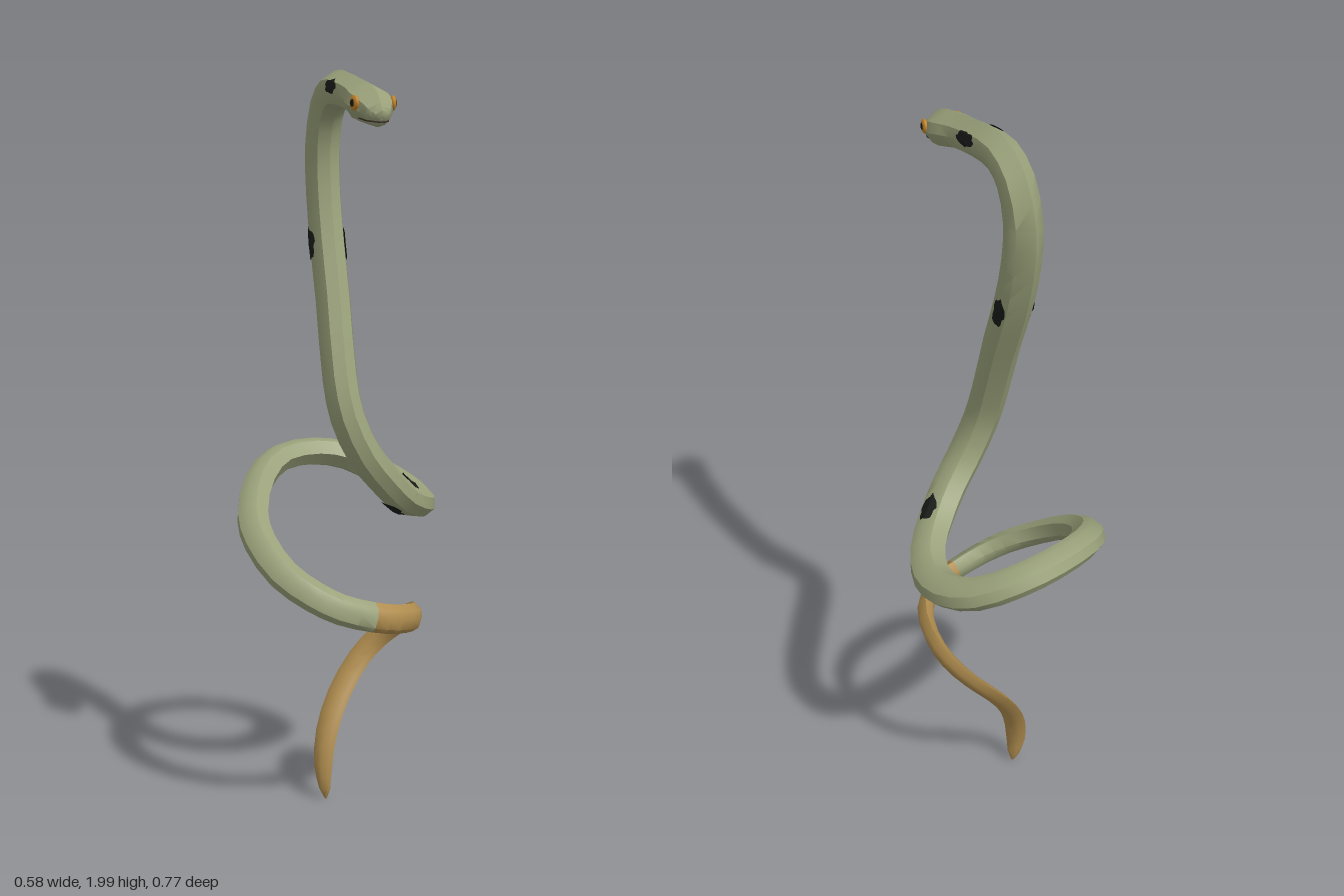
import * as THREE from 'three';
import { toCreasedNormals } from 'three/addons/utils/BufferGeometryUtils.js';

const mat = (name, color, side = THREE.FrontSide) =>
  Object.assign(new THREE.MeshStandardMaterial({ color, side }), { name });

// Spine from snout to tail tip: x, y, z, half width, half height
const HEAD_NECK = [
  [-.035, 1.868, .375, .002, .002], [-.035, 1.871, .37, .018, .022], [-.035, 1.88, .35, .035, .033],
  [-.035, 1.897, .315, .052, .046], [-.035, 1.91, .27, .059, .05], [-.035, 1.927, .2, .047, .046],
  [-.035, 1.942, .11, .046, .047], [-.035, 1.945, .01, .046, .053], [-.035, 1.9, -.06, .046, .06],
  [-.036, 1.8, -.098, .046, .064], [-.037, 1.68, -.088, .046, .062], [-.04, 1.545, -.045, .046, .06],
  [-.045, 1.4, .02, .046, .058], [-.052, 1.2, .1, .046, .056], [-.04, 1.1, .128, .046, .055],
];
const COIL = [
  [.005, 1, .135, .046, .054], [.065, .93, .115, .046, .053], [.13, .872, .07, .045, .053],
  [.2, .84, -.01, .044, .052], [.238, .83, -.1, .043, .052], [.238, .842, -.19, .042, .052],
  [.195, .875, -.28, .041, .051], [.11, .92, -.335, .04, .05], [.01, .938, -.338, .039, .049],
  [-.105, .93, -.295, .038, .047], [-.185, .885, -.21, .037, .046], [-.24, .81, -.09, .036, .045],
  [-.245, .755, 0, .035, .044], [-.21, .685, .1, .033, .043], [-.145, .635, .165, .031, .042],
  [-.08, .602, .192, .029, .041],
];
const TAIL = [
  [.01, .575, .193, .027, .04], [.08, .56, .175, .025, .039], [.15, .545, .11, .023, .038],
  [.183, .525, .01, .02, .037], [.175, .49, -.07, .018, .036], [.13, .435, -.12, .016, .036],
  [.08, .38, -.13, .016, .036], [.01, .285, -.105, .015, .036], [-.035, .19, -.075, .015, .034],
  [-.052, .1, -.056, .014, .029], [-.05, .035, -.048, .012, .018], [-.047, .005, -.047, .002, .003],
];
const POINTS = [...HEAD_NECK, ...COIL, ...TAIL];
const STEP = 2;

// Cross-section with a dorsal ridge: lateral, dorsal
const SECTION = [[0, 1], [.86, .5], [1, -.05], [.66, -.74], [0, -1], [-.66, -.74], [-1, -.05], [-.86, .5]];
const SIDES = SECTION.length;

// Rings along the spine, with the back carried along without twist
function makeRings() {
  const curve = new THREE.CatmullRomCurve3(POINTS.map(p => new THREE.Vector3(p[0], p[1], p[2])));
  const spans = POINTS.length - 1, rings = [];
  const back = new THREE.Vector3(0, 1, 0);
  for (let i = 0; i <= spans * STEP; i++) {
    const t = i / (spans * STEP), k = Math.min(Math.floor(i / STEP), spans - 1), f = i / STEP - k;
    const w = THREE.MathUtils.lerp(POINTS[k][3], POINTS[k + 1][3], f);
    const h = THREE.MathUtils.lerp(POINTS[k][4], POINTS[k + 1][4], f);
    const centre = curve.getPoint(t), tangent = curve.getTangent(t);
    back.addScaledVector(tangent, -back.dot(tangent)).normalize();
    const side = new THREE.Vector3().crossVectors(tangent, back);
    rings.push({
      centre,
      points: SECTION.map(([a, b]) => centre.clone().addScaledVector(side, a * w).addScaledVector(back, b * h)),
    });
  }
  return rings;
}

// Skin between two rings
function skin(rings, from, to) {
  const pos = [], index = [];
  for (let i = from; i <= to; i++) rings[i].points.forEach(p => pos.push(p.x, p.y, p.z));
  for (let i = 0; i < to - from; i++) {
    for (let j = 0; j < SIDES; j++) {
      const a = i * SIDES + j, b = i * SIDES + (j + 1) % SIDES;
      index.push(a, b, b + SIDES, a, b + SIDES, a + SIDES);
    }
  }
  const g = new THREE.BufferGeometry();
  g.setAttribute('position', new THREE.Float32BufferAttribute(pos, 3));
  g.setIndex(index);
  return toCreasedNormals(g, 0.72);
}

// Point just above the skin; u counts spine points, v counts section corners
function onSkin(rings, u, v, lift) {
  const r = u * STEP, i = Math.floor(r), j = Math.floor(v);
  const at = n => rings[n].points[j % SIDES].clone().lerp(rings[n].points[(j + 1) % SIDES], v - j);
  const p = at(i).lerp(at(i + 1), r - i);
  const c = rings[i].centre.clone().lerp(rings[i + 1].centre, r - i);
  return p.addScaledVector(p.clone().sub(c).normalize(), lift);
}

// Ragged dark patch lying on the skin
function spotGeometry(rings, u, v, du, dv) {
  const g = new THREE.RingGeometry(0.001, 1, 20, 5), pos = g.attributes.position;
  for (let i = 0; i < pos.count; i++) {
    const x = pos.getX(i), y = pos.getY(i), a = Math.atan2(y, x);
    const ragged = 1 + .1 * Math.sin(a * 5 + u) + .07 * Math.cos(a * 8);
    const p = onSkin(rings, u + x * du * ragged, v + y * dv * ragged, .004);
    pos.setXYZ(i, p.x, p.y, p.z);
  }
  g.computeVertexNormals();
  return g;
}

export function createModel() {
  const green = mat('sage green', 0x9aa17a);
  const ochre = mat('ochre', 0xb08d4f);
  const black = mat('black', 0x191b19, THREE.DoubleSide);
  const amber = mat('amber', 0xc4842a);
  const mouthDark = mat('mouth brown', 0x3a3026);

  const group = new THREE.Group();
  const add = (name, geometry, material) => {
    const mesh = new THREE.Mesh(geometry, material);
    mesh.name = name;
    group.add(mesh);
    return mesh;
  };

  // Body and tail
  const rings = makeRings();
  const tailStart = (HEAD_NECK.length + COIL.length) * STEP;
  add('body', skin(rings, 0, tailStart), green);
  add('tail', skin(rings, tailStart, rings.length - 1), ochre);

  // Spots on both flanks: u, v, reach along, reach around
  for (const [u, v, du, dv] of [[6, 1.5, .42, .62], [11, 1.75, .3, .65], [16.9, 2, .42, .7]]) {
    add('leftSpot', spotGeometry(rings, u, v, du, dv), black);
    add('rightSpot', spotGeometry(rings, u, SIDES - v, du, dv), black);
  }

  // Eyes
  for (const s of [1, -1]) {
    const eye = new THREE.Group();
    eye.name = s > 0 ? 'leftEye' : 'rightEye';
    const iris = new THREE.Mesh(new THREE.SphereGeometry(.019, 14, 10), amber);
    iris.name = 'iris';
    iris.scale.x = .45;
    const pupil = new THREE.Mesh(new THREE.SphereGeometry(.01, 12, 8), black);
    pupil.name = 'pupil';
    pupil.scale.x = .4;
    pupil.position.x = s * .006;
    eye.add(iris, pupil);
    eye.position.set(-.035 + s * .05, 1.909, .315);
    eye.rotation.y = -s * .2;
    group.add(eye);
  }

  // Mouth line around the snout
  const lip = [];
  for (const [u, v] of [[2.8, 2.7], [2, 2.6], [1.2, 2.5]]) lip.push(onSkin(rings, u, v, 0));
  const mirrored = lip.map(p => new THREE.Vector3(-.07 - p.x, p.y, p.z)).reverse();
  const mouth = new THREE.CatmullRomCurve3([...lip, new THREE.Vector3(-.035, 1.862, .373), ...mirrored]);
  add('mouth', new THREE.TubeGeometry(mouth, 24, .0025, 5), mouthDark);

  return group;
}
